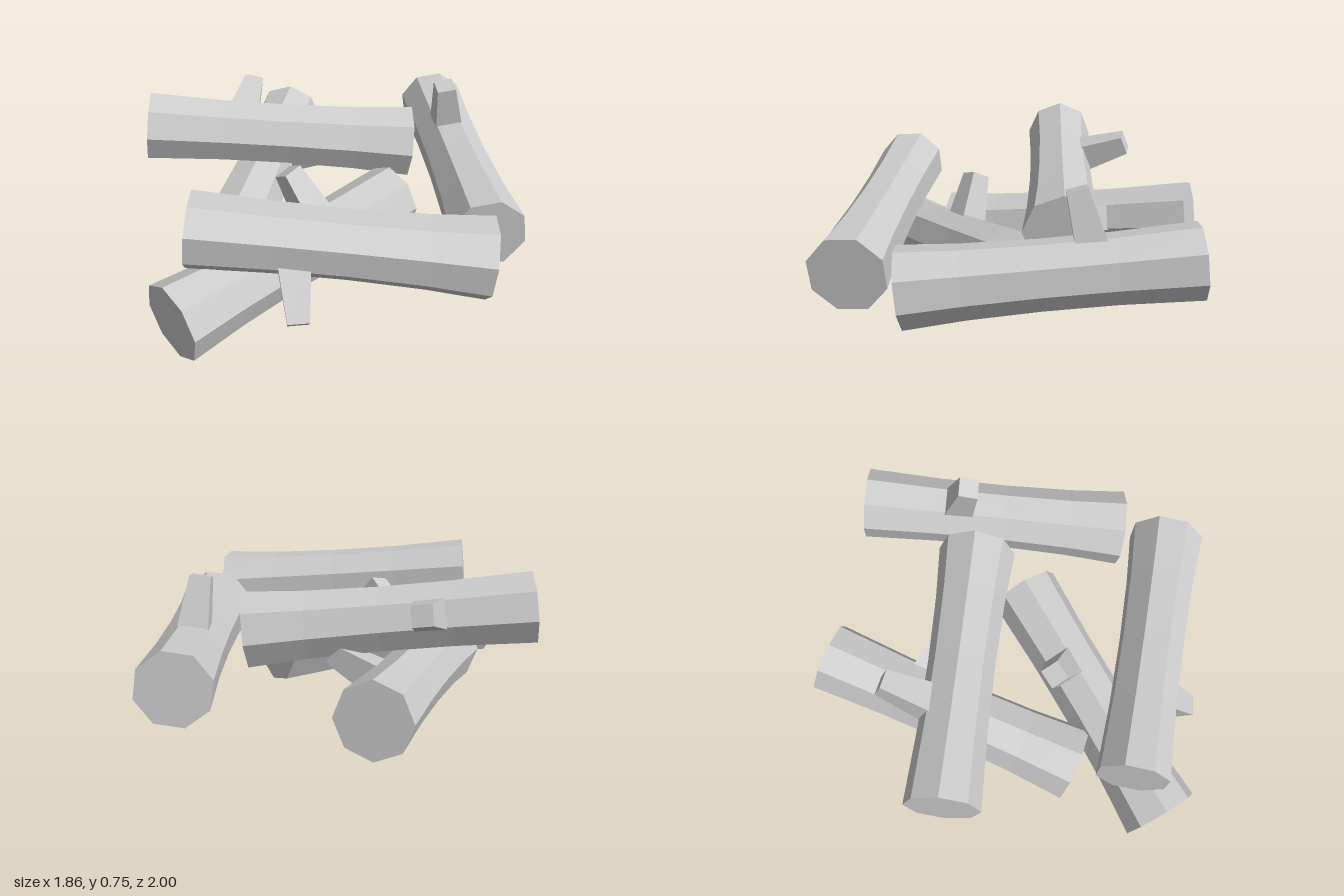
import * as THREE from 'three';

const material = new THREE.MeshStandardMaterial({ color: 0xcccccc, flatShading: true });
const V = (a) => new THREE.Vector3(...a);
const LENGTH = 1.18;

// Eight-sided trunk, slightly waisted, thick end at y = 0, closed at both ends
function trunkGeometry() {
  const profile = [[0, 0], [0.17, 0], [0.152, 0.25], [0.143, 0.55], [0.144, 0.85], [0.156, LENGTH], [0, LENGTH]]
    .map(([r, y]) => new THREE.Vector2(r, y));
  return new THREE.LatheGeometry(profile, 8).rotateY(Math.PI / 8);
}

// Square tapering branch stub, growing out of one flat side of the trunk
function stubGeometry() {
  const g = new THREE.CylinderGeometry(0.06, 0.105, 0.33, 4);
  g.rotateY(Math.PI / 4).translate(0, 0.165, 0);
  g.rotateZ(-Math.PI / 2 - 0.17);
  return g.translate(0, LENGTH * 0.66, 0);
}

// Place a log from its thick end towards its thin end, stub turned to a direction
function makeLog(name, thick, thin, stubDirection, trunk, stub) {
  const log = new THREE.Group();
  log.name = name;
  const y = V(thin).sub(V(thick)).normalize();
  const x = V(stubDirection);
  x.addScaledVector(y, -x.dot(y)).normalize();
  const z = new THREE.Vector3().crossVectors(x, y);
  log.quaternion.setFromRotationMatrix(new THREE.Matrix4().makeBasis(x, y, z));
  log.position.copy(V(thick));
  for (const [part, geometry] of [['trunk', trunk], ['branchStub', stub]]) {
    const mesh = new THREE.Mesh(geometry, material);
    mesh.name = part;
    log.add(mesh);
  }
  return log;
}

export function createModel() {
  const model = new THREE.Group();
  model.name = 'logPile';
  const trunk = trunkGeometry();
  const stub = stubGeometry();
  // name, thick end, thin end, stub direction
  const logs = [
    ['frontLog', [0.12, 0.175, 0.98], [0.115, 0.30, -0.19], [-0.13, 0.27, 0.1]],
    ['upperRightLog', [-0.01, 0.475, -0.40], [-0.69, 0.60, 0.545], [-0.22, 0.11, -0.17]],
    ['lowerRightLog', [-0.095, 0.19, 0.60], [-0.805, 0.38, -0.32], [0.26, 0.1, -0.17]],
    ['upperLeftLog', [0.805, 0.365, -0.065], [0.035, 0.495, 0.82], [0.17, -0.25, 0.13]],
    ['backLog', [0.655, 0.335, -0.225], [-0.31, 0.45, -0.87], [0.065, 0.31, 0.1]],
  ];
  for (const [name, thick, thin, direction] of logs) {
    model.add(makeLog(name, thick, thin, direction, trunk, stub));
  }
  return model;
}
